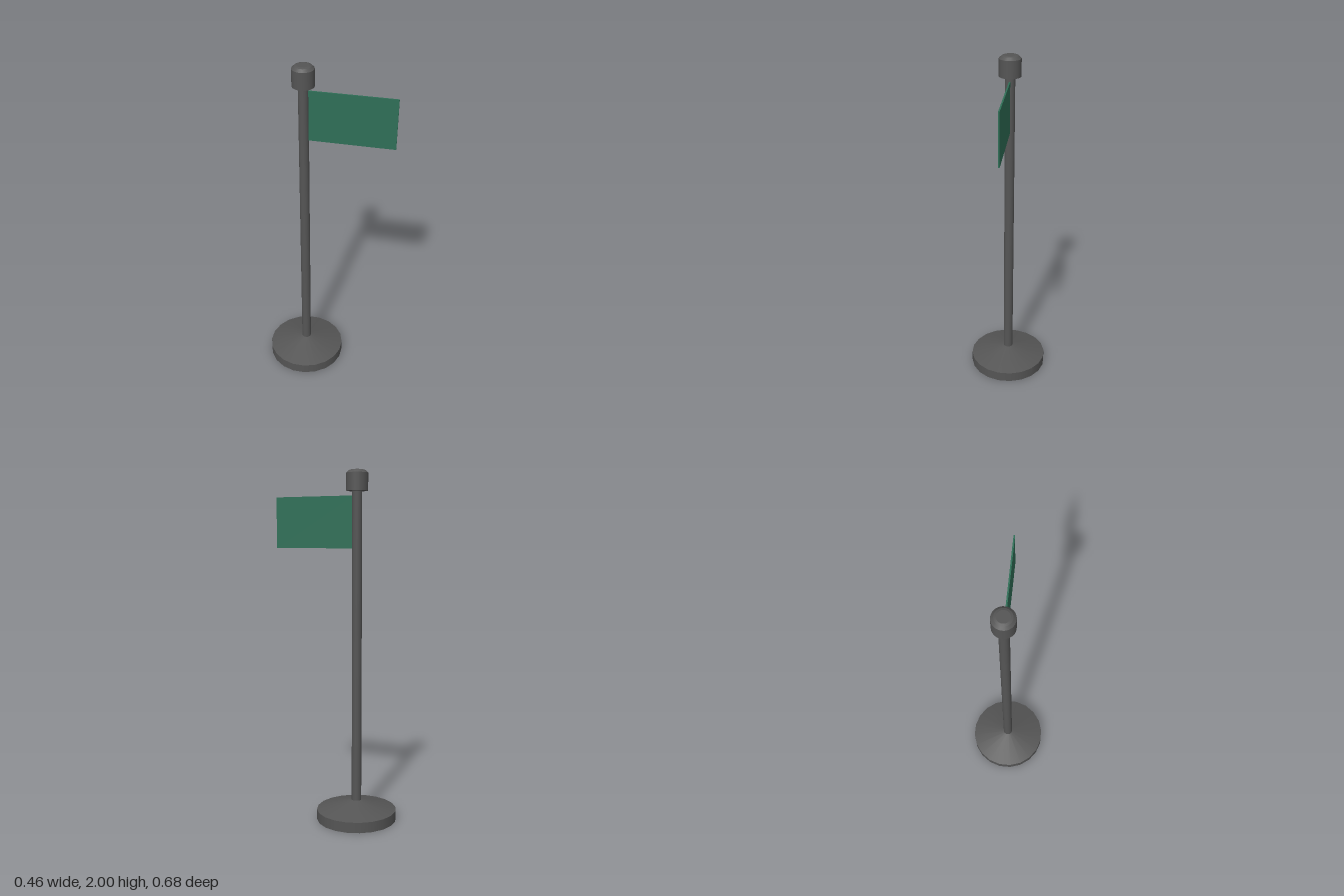
import * as THREE from 'three';

const SIDES = 20;
const POLE_Z = -0.11;

export function createModel() {
  const model = new THREE.Group();
  model.name = 'flagPole';

  const metal = new THREE.MeshStandardMaterial({ color: 0x555555 });
  const cloth = new THREE.MeshStandardMaterial({ color: 0x2f6f57 });

  // Everything turns about the pole axis
  const axis = new THREE.Group();
  axis.name = 'poleAssembly';
  axis.position.z = POLE_Z;
  model.add(axis);

  // Round section between two heights
  const section = (name, rBottom, rTop, y0, y1, open = false) => {
    const geo = new THREE.CylinderGeometry(rTop, rBottom, y1 - y0, SIDES, 1, open);
    const mesh = new THREE.Mesh(geo, metal);
    mesh.name = name;
    mesh.position.y = (y0 + y1) / 2;
    axis.add(mesh);
  };

  // Weighted foot: disc with a shallow cone on top
  section('baseDisc', 0.231, 0.231, 0, 0.06);
  section('baseCone', 0.231, 0.028, 0.06, 0.115, true);

  section('pole', 0.028, 0.028, 0.1, 1.9);

  // Finial: drum with a rounded-off top
  section('finialDrum', 0.061, 0.061, 1.885, 1.982);
  section('finialShoulder', 0.061, 0.046, 1.982, 1.996, true);
  section('finialTop', 0.046, 0.034, 1.996, 2.0);

  // Flag: thin stiff panel reaching out radially from the pole
  const inner = 0.024, outer = 0.503;
  const flagPivot = new THREE.Group();
  flagPivot.name = 'flagPivot';
  flagPivot.rotation.y = THREE.MathUtils.degToRad(26.8);
  const flag = new THREE.Mesh(new THREE.BoxGeometry(0.008, 0.29, outer - inner), cloth);
  flag.name = 'flag';
  flag.position.set(0, 1.715, (inner + outer) / 2);
  flagPivot.add(flag);
  axis.add(flagPivot);

  return model;
}
